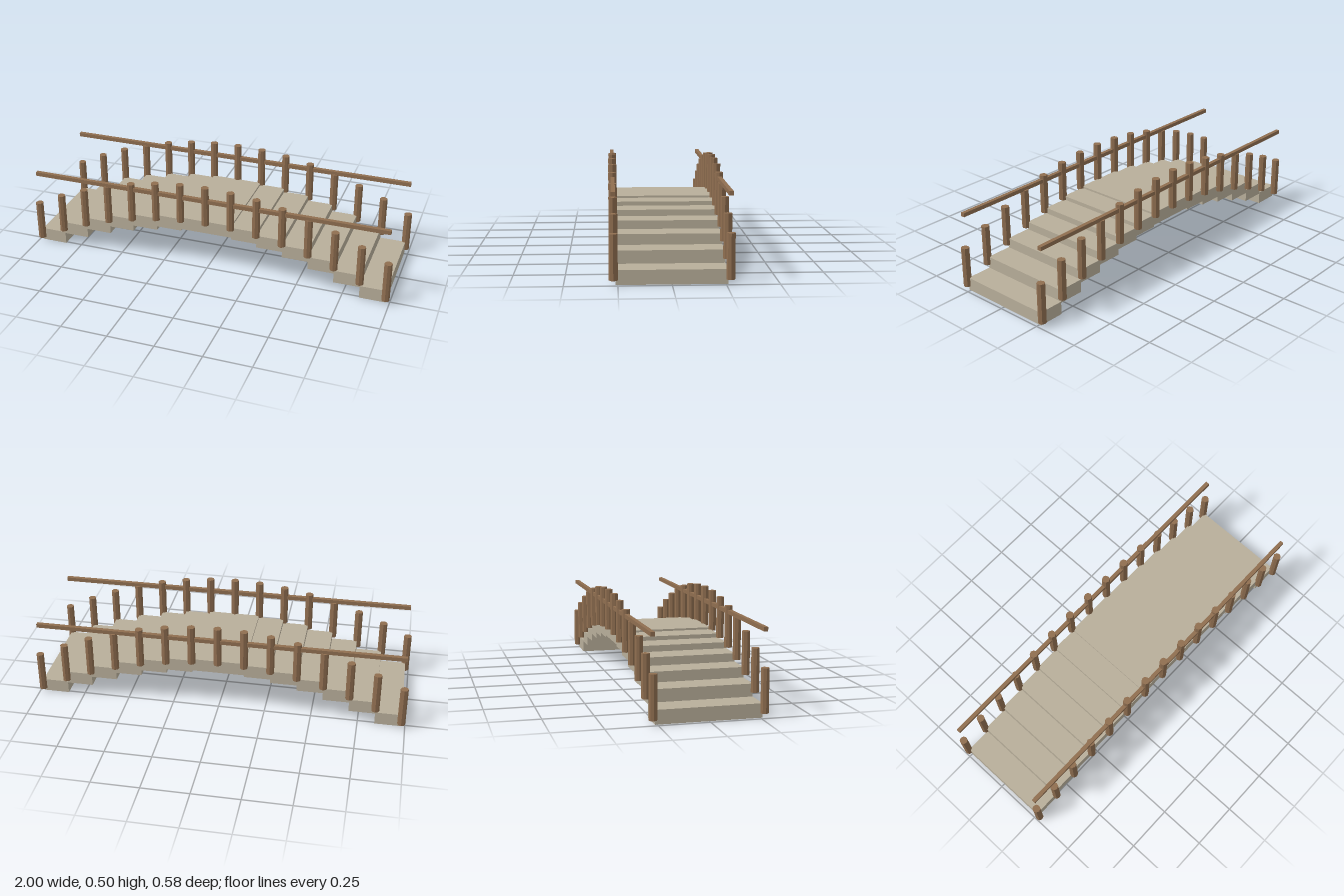
import * as THREE from 'three';

export function createModel() {
  const bridge = new THREE.Group();
  bridge.name = 'archedBridge';
  const stone = new THREE.MeshStandardMaterial({ color: 0xb8ae9a });
  const wood = new THREE.MeshStandardMaterial({ color: 0x8f6e50, flatShading: true });

  const steps = 14, stepWidth = 0.14, halfLength = 0.98, railZ = 0.271;
  // Parabolic rise of the arch above its ends
  const rise = (x) => 0.26 * (1 - (x / halfLength) ** 2);

  const add = (name, geometry, material, x, y, z) => {
    const mesh = new THREE.Mesh(geometry, material);
    mesh.name = name;
    mesh.position.set(x, y, z);
    bridge.add(mesh);
  };

  // Level deck slabs stepping over the arch
  const slab = new THREE.BoxGeometry(stepWidth, 0.07, 0.521);
  for (let i = 0; i < steps; i++) {
    const x = -halfLength + (i + 0.5) * stepWidth;
    add('deckSlab', slab, stone, x, rise(x) - 0.001, 0);
  }

  // Posts and straight handrail on each side
  const post = new THREE.CylinderGeometry(0.021, 0.021, 0.218, 8);
  const rail = new THREE.BoxGeometry(halfLength * 2, 0.021, 0.021);
  for (const side of [-1, 1]) {
    for (let i = 0; i <= steps; i++) {
      const x = -halfLength + i * stepWidth;
      add('railPost', post, wood, x, 0.131 + rise(x), side * railZ);
    }
    add('handrail', rail, wood, 0, 0.422, side * railZ);
  }

  // Rest the lowest slabs on the ground
  bridge.position.y = -new THREE.Box3().setFromObject(bridge).min.y;
  return bridge;
}
